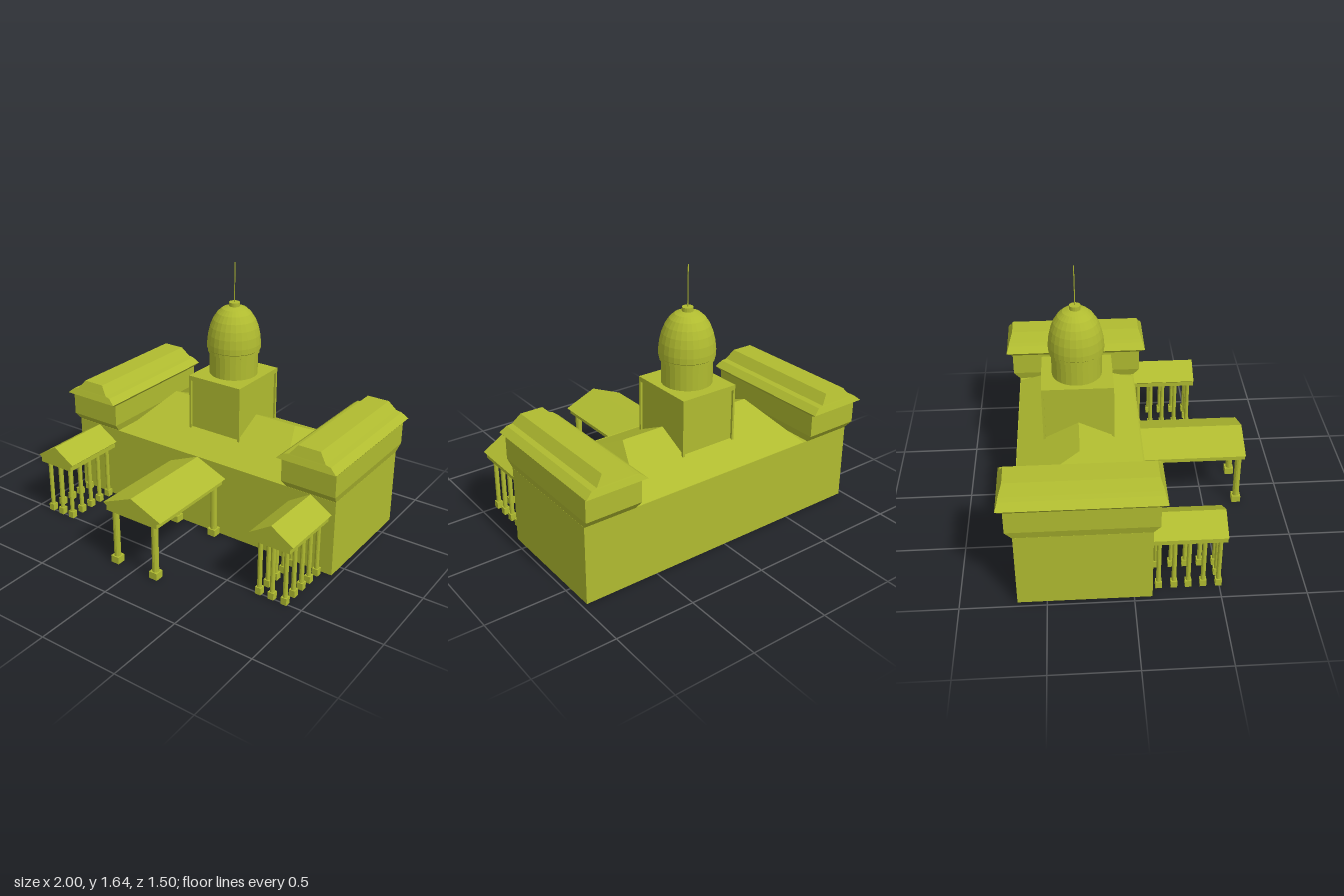
import * as THREE from 'three';

const olive = new THREE.MeshStandardMaterial({ color: 0xb0bb30, flatShading: true });
olive.name = 'olive';

const CZ = -0.285; // centre line of the main building
const WING_X = 0.805;

function add(parent, name, geometry, x = 0, y = 0, z = 0) {
  const mesh = new THREE.Mesh(geometry, olive);
  mesh.name = name;
  mesh.position.set(x, y, z);
  parent.add(mesh);
  return mesh;
}

// Box given by its limits
function block(parent, name, x0, x1, y0, y1, z0, z1) {
  return add(parent, name, new THREE.BoxGeometry(x1 - x0, y1 - y0, z1 - z0),
    (x0 + x1) / 2, (y0 + y1) / 2, (z0 + z1) / 2);
}

// Solid through stacked rectangles [y, half width, half depth]
function stack(rings) {
  const pos = [], idx = [];
  for (const [y, w, d] of rings) pos.push(-w, y, d, w, y, d, w, y, -d, -w, y, -d);
  for (let r = 0; r < rings.length - 1; r++) {
    for (let i = 0; i < 4; i++) {
      const a = r * 4 + i, b = r * 4 + (i + 1) % 4;
      idx.push(a, b, b + 4, a, b + 4, a + 4);
    }
  }
  const t = (rings.length - 1) * 4;
  idx.push(t, t + 1, t + 2, t, t + 2, t + 3, 0, 2, 1, 0, 3, 2);
  const g = new THREE.BufferGeometry();
  g.setAttribute('position', new THREE.Float32BufferAttribute(pos, 3));
  g.setIndex(idx);
  const flat = g.toNonIndexed();
  flat.computeVertexNormals();
  return flat;
}

function column(parent, x, z, r, base) {
  add(parent, 'columnBase', new THREE.BoxGeometry(base * 2, 0.045, base * 2), x, 0.0225, z);
  add(parent, 'columnShaft', new THREE.CylinderGeometry(r, r, 0.315, 12), x, 0.2, z);
}

// Gabled porch roof with a bevelled eave
function porch(name, x, half, beam, zEnd, columns, r, base) {
  const group = new THREE.Group();
  group.name = name;
  group.position.x = x;
  const s = new THREE.Shape([
    [-beam, 0.355], [beam, 0.355], [beam, 0.385], [half, 0.4],
    [0, 0.49], [-half, 0.4], [-beam, 0.385],
  ].map(([px, py]) => new THREE.Vector2(px, py)));
  const roof = new THREE.ExtrudeGeometry(s, { depth: zEnd - 0.1, bevelEnabled: false });
  add(group, 'porchRoof', roof, 0, 0, 0.1);
  for (const [cx, cz] of columns) column(group, cx, cz, r, base);
  return group;
}

function tower() {
  const group = new THREE.Group();
  group.name = 'tower';
  group.position.z = CZ;
  const w = 0.19, d = 0.216, p = 0.014;
  // Recessed core, corner posts and cap
  block(group, 'towerCore', -w + p, w - p, 0.49, 0.91, -d + p, d - p);
  for (const sx of [-1, 1]) for (const sz of [-1, 1]) {
    add(group, 'towerPost', new THREE.BoxGeometry(p, 0.34, p),
      sx * (w - p / 2), 0.74, sz * (d - p / 2));
  }
  block(group, 'towerCap', -w, w, 0.9, 0.93, -d, d);
  // Drum, moulding and dome
  add(group, 'drum', new THREE.CylinderGeometry(0.152, 0.152, 0.15, 28), 0, 1.0, 0);
  const dome = [
    [0.15, 1.07], [0.162, 1.075], [0.162, 1.095], [0.168, 1.1], [0.168, 1.135],
    [0.162, 1.19], [0.15, 1.24], [0.132, 1.285], [0.106, 1.325], [0.076, 1.352],
    [0.04, 1.365], [0, 1.368],
  ].map(([x, y]) => new THREE.Vector2(x, y));
  add(group, 'dome', new THREE.LatheGeometry(dome, 28));
  add(group, 'domeCap', new THREE.CylinderGeometry(0.034, 0.034, 0.028, 16), 0, 1.376, 0);
  add(group, 'spire', new THREE.CylinderGeometry(0.003, 0.003, 0.26, 8), 0, 1.51, 0);
  return group;
}

export function createModel() {
  const model = new THREE.Group();
  model.name = 'domedBuilding';

  block(model, 'mainBlock', -0.97, 0.97, 0, 0.49, -0.67, 0.105);
  add(model, 'hipRoof', stack([[0.488, 0.613, 0.385], [0.68, 0.46, 0]]), 0, 0, CZ);
  model.add(tower());

  // Side wings: flared wall, cornice and stepped roof
  const wing = stack([
    [0.488, 0.164, 0.386], [0.54, 0.178, 0.427], [0.68, 0.178, 0.427], [0.7, 0.194, 0.466],
    [0.735, 0.152, 0.452], [0.742, 0.118, 0.449], [0.8, 0.072, 0.427],
  ]);
  const sideColumns = [[0, 0.495]];
  for (const z of [0.495, 0.405, 0.318, 0.235, 0.145]) sideColumns.push([-0.085, z], [0.085, z]);
  for (const sx of [-1, 1]) {
    add(model, sx > 0 ? 'leftWing' : 'rightWing', wing, sx * WING_X, 0, CZ + 0.001);
    model.add(porch(sx > 0 ? 'leftPorch' : 'rightPorch', sx * WING_X, 0.143, 0.125, 0.53,
      sideColumns, 0.014, 0.019));
  }

  // Central entrance
  const frontColumns = [];
  for (const x of [-0.145, 0.145]) frontColumns.push([x, 0.717], [x, 0.135]);
  model.add(porch('entrancePorch', 0, 0.212, 0.187, 0.75, frontColumns, 0.021, 0.028));
  block(model, 'entranceDoor', -0.115, 0.115, 0.035, 0.355, 0.103, 0.109);
  return model;
}
